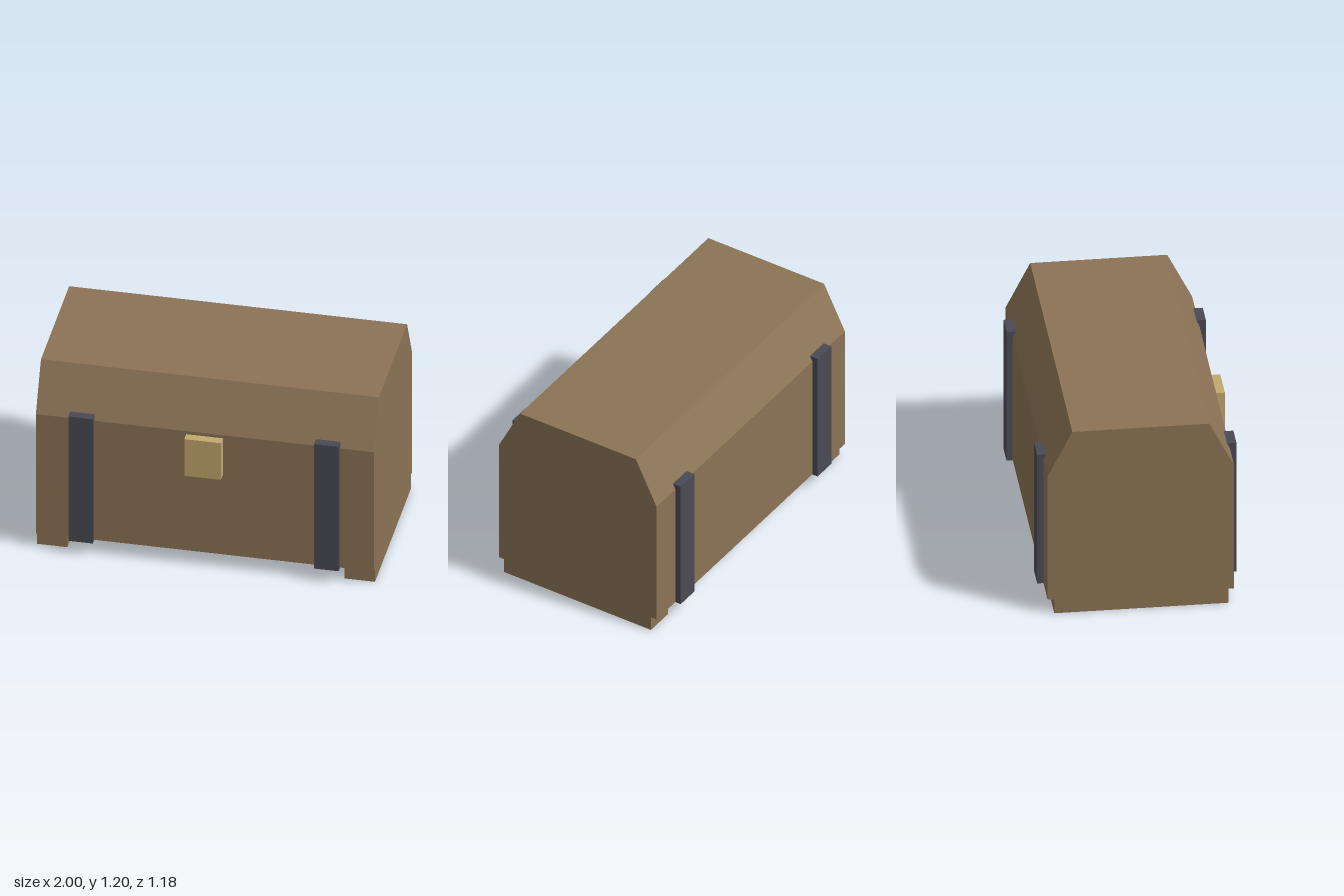
import * as THREE from 'three';

export function createModel() {
  const wood = new THREE.MeshStandardMaterial({ name: 'wood brown', color: 0x8b7355 });
  const iron = new THREE.MeshStandardMaterial({ name: 'iron grey', color: 0x4a4a54 });
  const brass = new THREE.MeshStandardMaterial({ name: 'brass', color: 0xc2a86e });

  const chest = new THREE.Group();
  chest.name = 'chest';

  // Box given by its lower and upper limits on each axis
  function addBox(name, material, [x0, x1], [y0, y1], [z0, z1]) {
    const mesh = new THREE.Mesh(new THREE.BoxGeometry(x1 - x0, y1 - y0, z1 - z0), material);
    mesh.position.set((x0 + x1) / 2, (y0 + y1) / 2, (z0 + z1) / 2);
    mesh.name = name;
    chest.add(mesh);
  }

  // Body with bevelled lid: one end profile as [z, y], extruded across the width
  const profile = [[0.535, 0.093], [-0.554, 0.093], [-0.554, 0.913], [-0.41, 1.2], [0.39, 1.2], [0.535, 0.913]];
  const shape = new THREE.Shape(profile.map(([z, y]) => new THREE.Vector2(-z, y)));
  const bodyGeometry = new THREE.ExtrudeGeometry(shape, { depth: 2, bevelEnabled: false });
  bodyGeometry.translate(0, 0, -1).rotateY(Math.PI / 2);
  const body = new THREE.Mesh(bodyGeometry, wood);
  body.name = 'bodyAndLid';
  chest.add(body);

  // Runners and iron straps on both sides; the straps wrap under the body
  for (const [side, s] of [['left', 1], ['right', -1]]) {
    const span = (a, b) => (s > 0 ? [a, b] : [-b, -a]);
    addBox(side + 'Foot', wood, span(0.82, 1), [0, 0.093], [-0.515, 0.502]);
    addBox(side + 'Strap', iron, span(0.655, 0.8), [0.091, 0.947], [-0.59, 0.573]);
  }

  // Latch plate on the front
  addBox('latch', brass, [-0.11, 0.107], [0.64, 0.892], [0.5, 0.59]);

  return chest;
}
